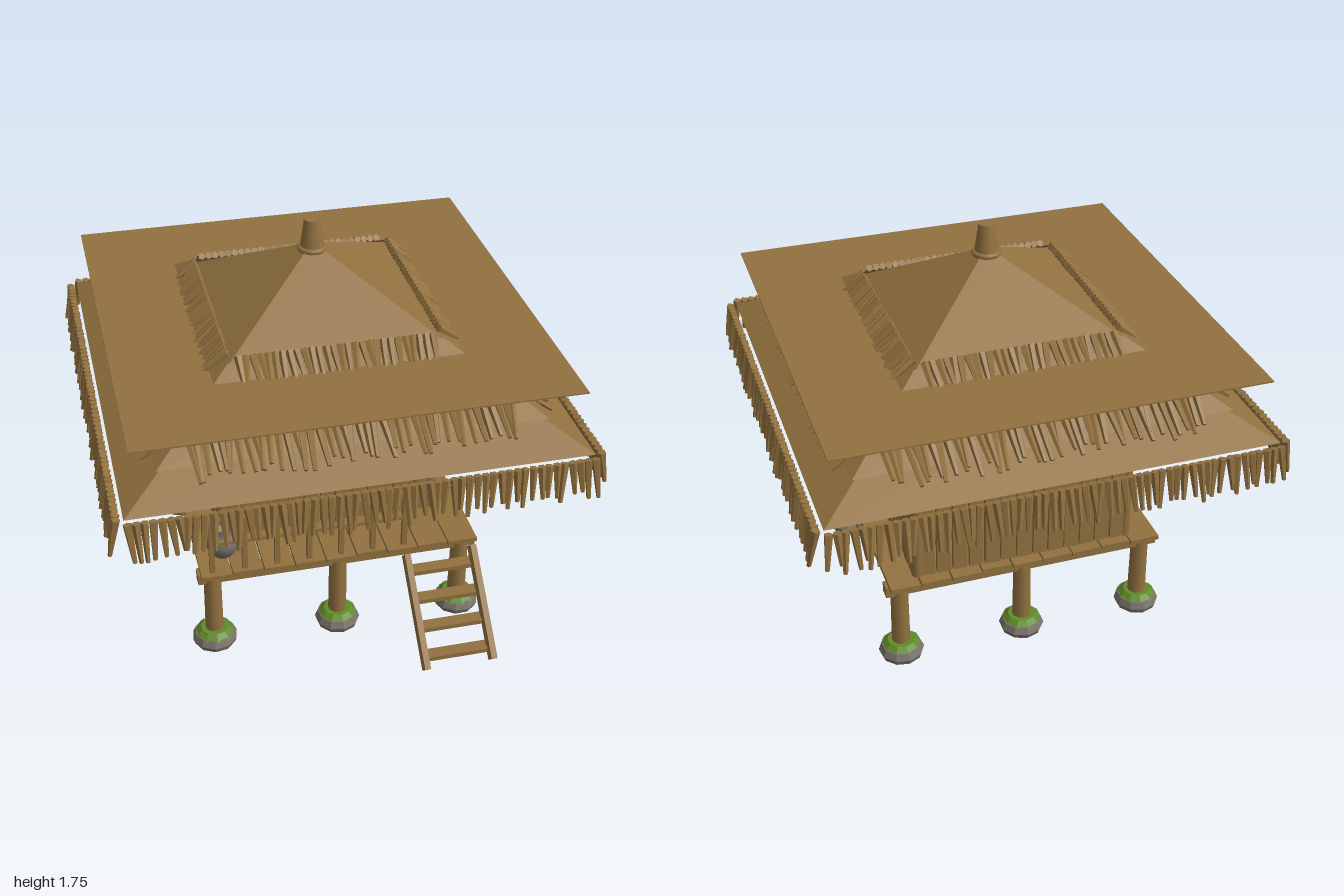
import * as THREE from 'three';
import { mergeGeometries } from 'three/addons/utils/BufferGeometryUtils.js';

export function createModel() {
  const model = new THREE.Group();
  model.name = 'stiltHut';
  const mat = (name, color) => {
    const m = new THREE.MeshStandardMaterial({ color });
    m.name = name;
    return m;
  };
  const wood = mat('wood', 0x92713f);
  const thatch = mat('thatch', 0x92713f);
  thatch.side = THREE.DoubleSide;
  const stone = mat('stone', 0x7c746c);
  const moss = mat('moss', 0x5f8a28);
  const clay = mat('clay', 0x77716a);
  const pane = mat('windowPane', 0x828282);
  const iron = mat('iron', 0x4a4238);

  let seed = 7;
  const rnd = (a, b) => {
    seed = (seed * 16807) % 2147483647;
    return a + (b - a) * (seed / 2147483647);
  };
  const add = (name, geo, material, x = 0, y = 0, z = 0, parent = model) => {
    const m = new THREE.Mesh(geo, material);
    m.name = name;
    m.position.set(x, y, z);
    parent.add(m);
    return m;
  };
  const box = (name, w, h, d, x, y, z, material = wood, parent = model) =>
    add(name, new THREE.BoxGeometry(w, h, d), material, x, y, z, parent);
  const flat = (geo) => {
    const g = geo.index ? geo.toNonIndexed() : geo;
    g.computeVertexNormals();
    return g;
  };

  // Stilts on mossy stones
  const stoneGeo = flat(new THREE.LatheGeometry([
    [0.001, 0], [0.05, 0.004], [0.09, 0.022], [0.098, 0.045], [0.085, 0.075], [0.001, 0.085],
  ].map(([x, y]) => new THREE.Vector2(x, y)), 10));
  const mossGeo = flat(new THREE.CylinderGeometry(0.06, 0.087, 0.026, 10));
  for (const x of [-0.547, 0, 0.547]) for (const z of [-0.49, 0.49]) {
    add('footStone', stoneGeo, stone, x, 0, z).rotation.y = rnd(0, 6);
    add('moss', mossGeo, moss, x, 0.083, z).rotation.y = rnd(0, 6);
    add('stilt', new THREE.CylinderGeometry(0.037, 0.04, 0.34, 10), wood, x, 0.24, z);
  }

  // Beams and floor
  for (const z of [-0.49, 0, 0.485]) box('floorBeam', 1.22, 0.048, 0.055, 0, 0.377, z);
  for (let i = 0; i < 9; i++) {
    const p = box('floorBoard', 0.128, 0.02, 1.12 + rnd(-0.015, 0.015), -0.536 + i * 0.134, 0.42, -0.003);
    p.rotation.z = rnd(-0.025, 0.025);
  }

  // Plank walls: each wall is built along its own x, facing its own +z
  const wall = (name, length, openings, x, z, turn) => {
    const g = new THREE.Group();
    g.name = name;
    g.position.set(x, 0, z);
    g.rotation.y = turn;
    model.add(g);
    const n = Math.round(length / 0.07), step = length / n;
    for (let i = 0; i < n; i++) {
      const px = -length / 2 + (i + 0.5) * step;
      const gap = openings.find((o) => px > o[0] && px < o[1]);
      const spans = gap ? [[0.43, gap[2]], [gap[3], 1.03]] : [[0.43, 1.03]];
      for (const [a, b] of spans) {
        if (b - a < 0.02) continue;
        box('wallPlank', step - rnd(0.004, 0.012), b - a, 0.022, px, (a + b) / 2, rnd(-0.004, 0.004), wood, g);
      }
    }
    return g;
  };
  const front = wall('frontWall', 0.92, [[-0.35, -0.14, 0.67, 0.86], [0.06, 0.29, 0.43, 0.88]], 0, 0.295, 0);
  const sideL = wall('leftWall', 0.78, [], 0.475, -0.11, Math.PI / 2);
  wall('rightWall', 0.78, [], -0.475, -0.11, -Math.PI / 2);
  const back = wall('backWall', 0.92, [], 0, -0.505, Math.PI);
  for (const x of [-0.465, 0.465]) for (const z of [-0.495, 0.285])
    add('cornerPost', new THREE.CylinderGeometry(0.027, 0.027, 0.6, 8), wood, x, 0.73, z);

  // Front window with open shutters
  box('windowPane', 0.22, 0.2, 0.008, -0.245, 0.765, 0.3, pane);
  for (const x of [-0.355, -0.135]) box('windowFrame', 0.022, 0.21, 0.04, x, 0.765, 0.315);
  box('windowFrame', 0.25, 0.022, 0.04, -0.245, 0.85, 0.318);
  box('windowSill', 0.25, 0.022, 0.05, -0.245, 0.665, 0.32);
  for (const s of [-1, 1])
    box('shutter', 0.088, 0.165, 0.02, -0.245 + s * 0.167, 0.768, 0.34).rotation.y = -s * 0.45;

  // Small closed hatches and the wall ring
  box('sideHatch', 0.145, 0.155, 0.02, 0.215 - 0.22, 0.77, 0.013, wood, sideL).position.x = -0.005;
  box('backHatch', 0.145, 0.155, 0.03, 0.15, 0.77, 0.013, wood, back);
  const ring = add('wallRing', new THREE.TorusGeometry(0.06, 0.017, 8, 20), wood, 0.505, 0.79, 0.015);
  ring.rotation.y = Math.PI / 2;

  // Door
  for (let i = 0; i < 4; i++) box('doorBoard', 0.054, 0.44, 0.018, 0.088 + i * 0.058, 0.655, 0.3);
  box('doorLintel', 0.31, 0.03, 0.05, 0.175, 0.885, 0.318);
  for (const x of [0.045, 0.305]) box('doorJamb', 0.026, 0.45, 0.035, x, 0.655, 0.305);
  for (const y of [0.78, 0.68, 0.53]) box('doorBatten', 0.23, 0.025, 0.018, 0.175, y, 0.316);
  box('doorBrace', 0.31, 0.024, 0.016, 0.175, 0.645, 0.318).rotation.z = 0.8;
  add('doorHandle', new THREE.TorusGeometry(0.016, 0.005, 6, 12), iron, 0.255, 0.658, 0.33);

  // Porch railing
  box('topRail', 0.86, 0.024, 0.026, -0.135, 0.69, 0.528);
  box('lowerRail', 0.84, 0.016, 0.016, -0.135, 0.575, 0.528);
  for (let i = 0; i < 7; i++)
    box('railPost', 0.022, 0.25, 0.022, -0.55 + i * 0.1385, 0.555, 0.528);

  // Water jar
  add('jar', new THREE.LatheGeometry([
    [0.001, 0], [0.045, 0], [0.068, 0.035], [0.074, 0.07], [0.062, 0.11], [0.045, 0.125],
    [0.058, 0.145], [0.048, 0.145], [0.036, 0.125], [0.001, 0.1],
  ].map(([x, y]) => new THREE.Vector2(x, y)), 18), clay, -0.485, 0.43, 0.41);

  // Ladder
  for (const x of [0.28, 0.573])
    box('ladderRail', 0.026, 0.055, 0.49, x, 0.235, 0.753).rotation.x = 0.765;
  for (let i = 0; i < 4; i++)
    box('ladderRung', 0.29, 0.02, 0.055, 0.427, 0.33 - i * 0.082, 0.595 + i * 0.09);

  // Square roof tiers, ragged at the eaves
  const tier = (name, rTop, yTop, rBottom, yBottom, ragged = 0) => {
    const g = new THREE.CylinderGeometry(rTop * Math.SQRT2, rBottom * Math.SQRT2, yTop - yBottom, 4, 1, true);
    g.rotateY(Math.PI / 4);
    add(name, flat(g), thatch, 0, (yTop + yBottom) / 2, 0);
    if (ragged) add(name + 'Edge', new THREE.BoxGeometry(rBottom * 2, 0.008, 0.02), thatch, 0, yBottom, rBottom - 0.01);
  };
  tier('roofCap', 0.04, 1.62, 0.5, 1.335);
  tier('middleRoof', 0.44, 1.385, 0.78, 1.165);
  tier('lowerRoof', 0.52, 1.29, 0.925, 1.07);
  box('roofSheet', 1.77, 0.006, 1.77, 0, 1.338, 0, thatch);

  // Thatch fringes: tapered strands along all four sides of each tier
  const fringe = (name, count, half, r0, y0, r1, y1, width) => {
    const parts = [];
    const full = Math.hypot(r1 - r0, y0 - y1), tilt = -Math.atan2(r1 - r0, y0 - y1);
    for (let side = 0; side < 4; side++) for (let i = 0; i < count; i++) {
      const len = full * rnd(0.78, 1.03);
      const g = new THREE.CylinderGeometry(width, width * 0.5, len, 5);
      g.rotateY(rnd(0, 6));
      g.translate(0, -len / 2, 0);
      g.rotateZ(rnd(-0.12, 0.12));
      g.rotateX(tilt + rnd(-0.04, 0.04));
      g.translate(-half + (2 * half * (i + 0.5)) / count, y0, r0);
      g.rotateY((side * Math.PI) / 2);
      parts.push(flat(g));
    }
    add(name, mergeGeometries(parts), thatch);
  };
  fringe('topFringe', 28, 0.41, 0.43, 1.405, 0.56, 1.3, 0.017);
  fringe('middleFringe', 42, 0.66, 0.68, 1.245, 0.845, 1.125, 0.018);
  fringe('lowerFringe', 58, 0.93, 0.952, 1.07, 0.985, 0.905, 0.018);

  // Finial
  add('finial', new THREE.CylinderGeometry(0.033, 0.052, 0.13, 16), wood, 0, 1.685, 0);
  const collar = add('finialCollar', new THREE.TorusGeometry(0.051, 0.012, 8, 20), wood, 0, 1.622, 0);
  collar.rotation.x = Math.PI / 2;

  return model;
}
